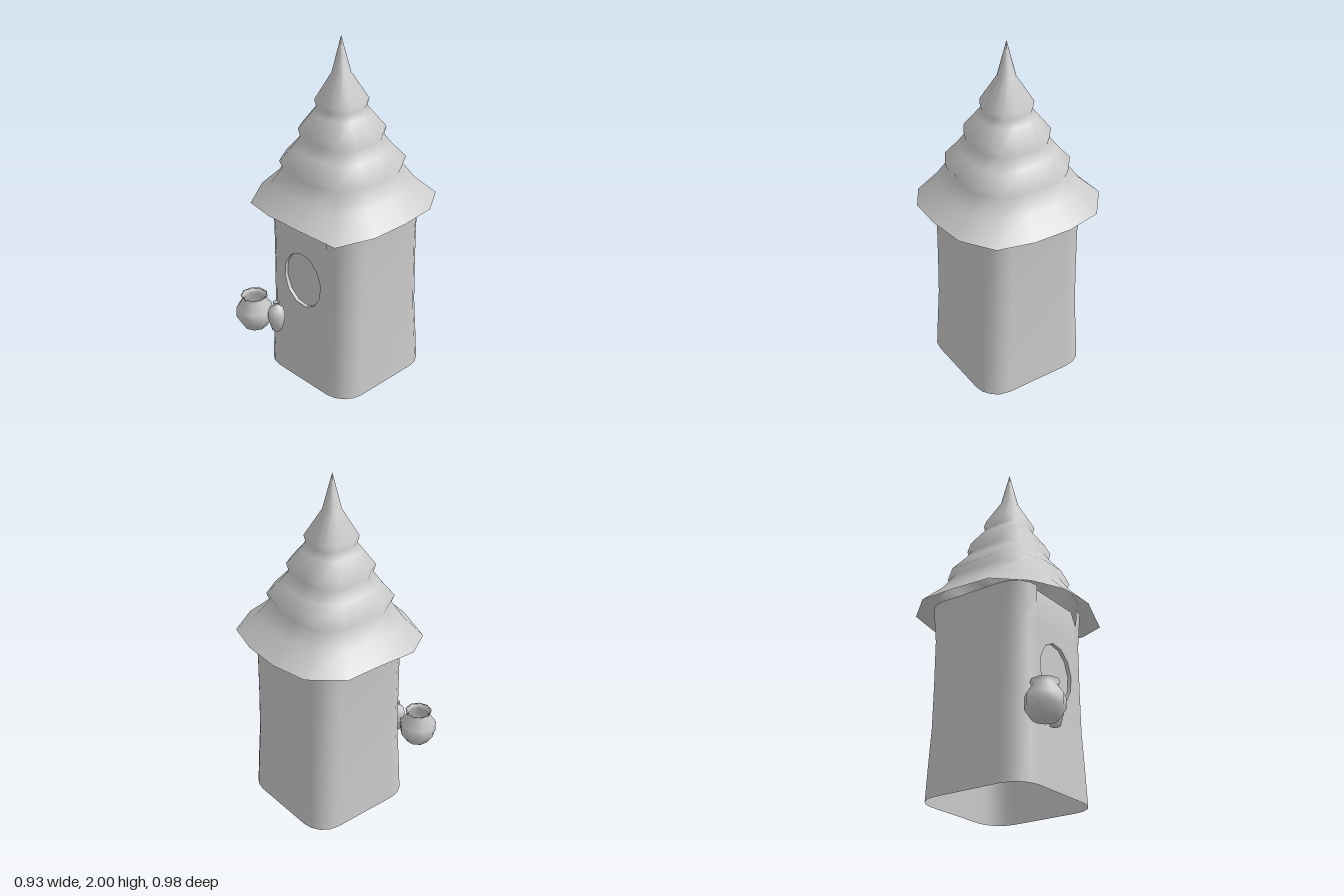
import * as THREE from 'three';
import { mergeGeometries, mergeVertices } from 'three/addons/utils/BufferGeometryUtils.js';

const material = new THREE.MeshStandardMaterial({ color: 0xcccccc, side: THREE.DoubleSide });

function addMesh(parent, name, geometry) {
  const mesh = new THREE.Mesh(geometry, material);
  mesh.name = name;
  parent.add(mesh);
  return mesh;
}

// Skin a stack of cross-sections (each a list of Vector3), bottom to top
function loft(rings, closed) {
  const n = rings[0].length;
  const index = [];
  for (let i = 0; i < rings.length - 1; i++) {
    for (let j = 0; j < (closed ? n : n - 1); j++) {
      const a = i * n + j, b = i * n + (j + 1) % n;
      index.push(a, a + n, b, a + n, b + n, b);
    }
  }
  const geometry = new THREE.BufferGeometry().setFromPoints(rings.flat());
  geometry.setIndex(index);
  geometry.computeVertexNormals();
  return geometry;
}

// Tower wall: half width at each height
const WALL = [[0, 0.343], [0.2, 0.335], [0.4, 0.326], [0.65, 0.323], [0.9, 0.322], [1.0, 0.328], [1.1, 0.333]];
const CORNER = 0.14;

function halfWidth(y) {
  const k = Math.max(1, WALL.findIndex(([level]) => level >= y));
  const [y0, h0] = WALL[k - 1], [y1, h1] = WALL[k];
  return h0 + (h1 - h0) * (y - y0) / (y1 - y0);
}

function createTower() {
  const tower = new THREE.Group();
  tower.name = 'tower';

  // Rounded-square wall, left open across the flat front
  const sides = loft(WALL.map(([y, h]) => {
    const ring = [];
    for (let c = 1; c <= 4; c++) {
      const mid = (c + 0.5) * Math.PI / 2;
      for (let s = 0; s <= 4; s++) {
        const angle = (c + s / 4) * Math.PI / 2;
        ring.push(new THREE.Vector3(
          Math.sign(Math.cos(mid)) * (h - CORNER) + Math.cos(angle) * CORNER, y,
          Math.sign(Math.sin(mid)) * (h - CORNER) + Math.sin(angle) * CORNER));
      }
    }
    return ring;
  }), false);

  // Front panel with the window opening
  const opening = [];
  for (let i = 0; i < 12; i++) {
    const a = (i + 0.3) / 12 * Math.PI * 2;
    opening.push(new THREE.Vector2(-0.008 + 0.146 * Math.cos(a), 0.658 + 0.165 * Math.sin(a)));
  }
  const rightEdge = WALL.map(([y, h]) => new THREE.Vector2(h - CORNER, y));
  const leftEdge = WALL.map(([y, h]) => new THREE.Vector2(CORNER - h, y)).reverse();
  const panelShape = new THREE.Shape([...rightEdge, ...leftEdge]);
  panelShape.holes.push(new THREE.Path(opening));
  const panel = new THREE.ShapeGeometry(panelShape);
  const p = panel.attributes.position;
  for (let i = 0; i < p.count; i++) p.setZ(i, halfWidth(p.getY(i)));

  // Weld panel and sides so the corners shade smoothly
  panel.deleteAttribute('uv');
  panel.deleteAttribute('normal');
  sides.deleteAttribute('normal');
  const wall = mergeVertices(mergeGeometries([sides, panel]), 1e-4);
  wall.computeVertexNormals();
  addMesh(tower, 'wall', wall);

  // Shallow window recess and its pane
  const paneZ = halfWidth(0.658) - 0.02;
  addMesh(tower, 'windowRecess', loft([
    opening.map(v => new THREE.Vector3(v.x, v.y, paneZ)),
    opening.map(v => new THREE.Vector3(v.x, v.y, halfWidth(v.y))),
  ], true));
  addMesh(tower, 'windowPane', new THREE.ShapeGeometry(new THREE.Shape(opening))).position.z = paneZ;

  tower.position.set(0.005, 0, -0.035);
  tower.rotation.y = -0.062;
  return tower;
}

// Roof eaves: x, z and drop below the common eaves height
const EAVES = [
  [-0.28, -0.46, 0], [-0.07, -0.49, 0], [0.15, -0.47, 0], [0.35, -0.405, 0], [0.455, -0.22, 0],
  [0.465, 0, 0], [0.43, 0.21, 0.015], [0.31, 0.385, 0.045], [0.085, 0.435, 0], [-0.14, 0.415, 0.005],
  [-0.36, 0.34, 0.03], [-0.465, 0.15, 0.01], [-0.45, -0.08, 0], [-0.435, -0.30, 0],
];
// Scale of the eaves outline and height for each ring of the stepped roof
const TIERS = [
  [1, 1.075], [0.77, 1.175], [0.64, 1.262], [0.672, 1.303], [0.53, 1.38], [0.44, 1.44],
  [0.463, 1.485], [0.32, 1.575], [0.265, 1.61], [0.285, 1.65], [0.1, 1.8], [0, 2],
];

function createRoof() {
  return loft(TIERS.map(([s, y]) => EAVES.map(([x, z, drop]) => new THREE.Vector3(
    x * s - 0.008 * (1 - s),
    y - drop * s ** 4,
    -0.027 + (z + 0.027) * s + 0.012 * (1 - s)))), true);
}

function pot(profile, sides) {
  return new THREE.LatheGeometry(profile.map(([r, y]) => new THREE.Vector2(r, y)), sides);
}

export function createModel() {
  const model = new THREE.Group();
  model.name = 'towerHouse';
  model.add(createTower());
  addMesh(model, 'roof', createRoof());

  // Round pot with a flared lip and an open mouth
  addMesh(model, 'roundPot', pot([
    [0, 0.29], [0.068, 0.29], [0.106, 0.35], [0.106, 0.41], [0.066, 0.467], [0.078, 0.492],
    [0.068, 0.488], [0.058, 0.465], [0.09, 0.41], [0.09, 0.355], [0.055, 0.305], [0, 0.305],
  ], 9)).position.set(-0.312, 0, 0.387);

  // Slender vase beside it
  addMesh(model, 'slenderVase', pot([
    [0, 0.307], [0.028, 0.307], [0.045, 0.37], [0.05, 0.41], [0.043, 0.447],
    [0.016, 0.468], [0.015, 0.478], [0.02, 0.49],
  ], 9)).position.set(-0.165, 0, 0.357);

  return model;
}
